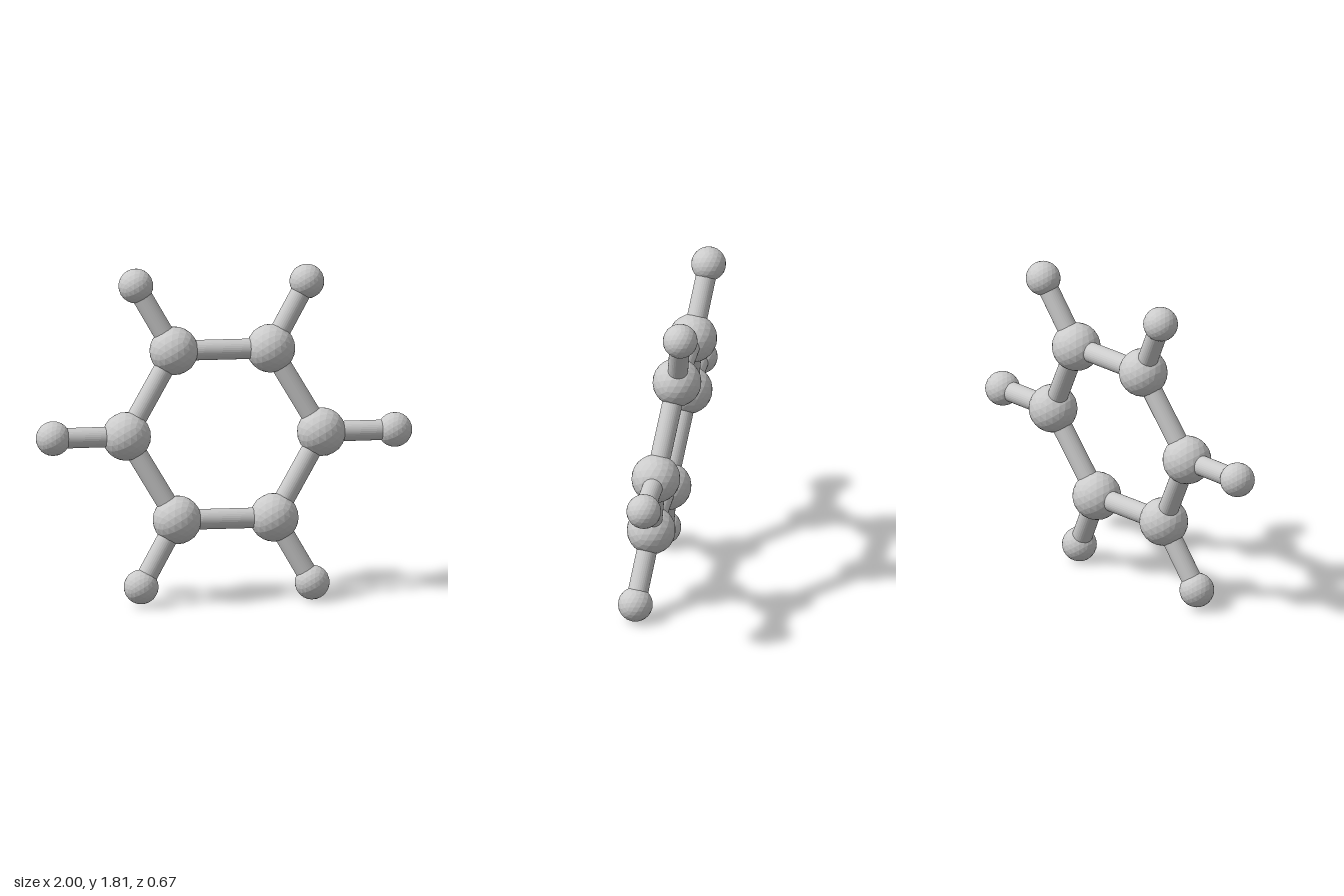
import * as THREE from 'three';

const CENTRE = new THREE.Vector3(0, 0.907, 0);
const material = new THREE.MeshStandardMaterial({ color: 0xcccccc, flatShading: true });

// Half of the ring, relative to the centre; the other half is its point reflection.
const ringHalf = [[-0.235, 0.455, -0.135], [0.28, 0.447, 0], [0.517, -0.009, 0.137]];
const outerHalf = [[-0.413, 0.809, -0.238], [0.494, 0.797, 0.003], [0.906, -0.013, 0.24]];

function reflected(half) {
  const points = half.map((p) => new THREE.Vector3(...p));
  return [...points, ...points.map((p) => p.clone().negate())].map((p) => p.add(CENTRE));
}

function ball(name, position, radius) {
  const mesh = new THREE.Mesh(new THREE.IcosahedronGeometry(radius, 3), material);
  mesh.name = name;
  mesh.position.copy(position);
  return mesh;
}

// Straight rod between two ball centres
function rod(name, a, b) {
  const along = b.clone().sub(a);
  const mesh = new THREE.Mesh(new THREE.CylinderGeometry(0.055, 0.055, along.length(), 32), material);
  mesh.name = name;
  mesh.position.copy(a).add(b).multiplyScalar(0.5);
  mesh.quaternion.setFromUnitVectors(new THREE.Vector3(0, 1, 0), along.normalize());
  return mesh;
}

export function createModel() {
  const model = new THREE.Group();
  model.name = 'ringMolecule';
  const ring = reflected(ringHalf);
  const outer = reflected(outerHalf);

  ring.forEach((atom, i) => {
    model.add(
      ball(`ringAtom${i + 1}`, atom, 0.132),
      ball(`outerAtom${i + 1}`, outer[i], 0.094),
      rod(`ringBond${i + 1}`, atom, ring[(i + 1) % ring.length]),
      rod(`outerBond${i + 1}`, atom, outer[i]),
    );
  });
  return model;
}
